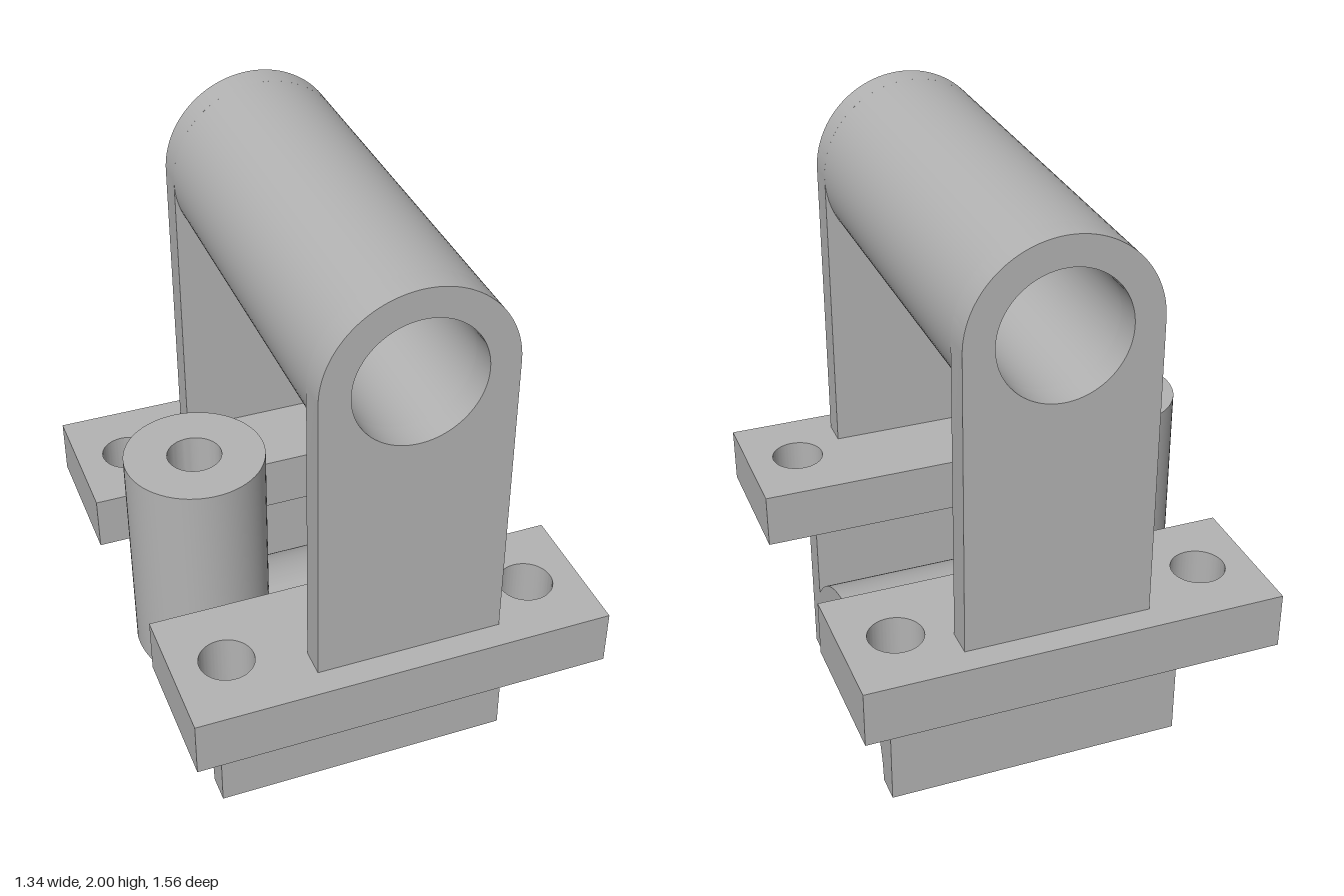
import * as THREE from 'three';
import { toCreasedNormals } from 'three/addons/utils/BufferGeometryUtils.js';

export function createModel() {
  const model = new THREE.Group();
  model.name = 'bracket';
  const metal = new THREE.MeshStandardMaterial({ color: 0xb3b3b3 });
  metal.name = 'grey metal';

  const add = (name, geometry) => {
    const mesh = new THREE.Mesh(toCreasedNormals(geometry, 0.5), metal);
    mesh.name = name;
    model.add(mesh);
    return mesh;
  };
  const extrude = (shape, depth) =>
    new THREE.ExtrudeGeometry(shape, { depth, bevelEnabled: false, curveSegments: 48 });
  const hole = (x, y, r) => new THREE.Path().absarc(x, y, r, 0, Math.PI * 2, true);

  // Saddle: half ring joined to two upright walls, extruded along x
  const inner = 0.355, outer = 0.445, wall = 0.447, wallTop = 0.54;
  const joint = Math.acos(inner / outer);
  const xStart = -0.5, xSplit = -0.3, xEnd = 0.495;
  const alongX = (shape, x0, x1) => extrude(shape, x1 - x0).rotateY(Math.PI / 2).translate(x0, 0, 0);

  const arch = new THREE.Shape();
  arch.moveTo(wall, 0);
  arch.lineTo(wall, wallTop);
  arch.lineTo(inner, wallTop);
  arch.absarc(0, 0, outer, joint, Math.PI - joint, false);
  arch.lineTo(-inner, wallTop);
  arch.lineTo(-wall, wallTop);
  arch.lineTo(-wall, 0);
  arch.absarc(0, 0, inner, Math.PI, 0, true);
  add('saddle', alongX(arch, xSplit, xEnd));

  // Saddle end, left open in the middle for the bore of the vertical pipe
  const gap = 0.15;
  for (const s of [1, -1]) {
    const a = (t) => (s > 0 ? t : Math.PI - t);
    const side = new THREE.Shape();
    side.moveTo(s * wall, 0);
    side.lineTo(s * wall, wallTop);
    side.lineTo(s * inner, wallTop);
    side.absarc(0, 0, outer, a(joint), a(Math.acos(gap / outer)), s < 0);
    side.absarc(0, 0, inner, a(Math.acos(gap / inner)), a(0), s > 0);
    add('saddleEnd', alongX(side, xStart, xSplit));
  }

  // Vertical pipe, its foot trimmed to the inside of the saddle
  const pipeR = 0.223, boreR = 0.086, pipeTop = 1.085, pipeX = -0.41;
  const profile = [];
  for (let i = 0; i <= 6; i++) {
    profile.push(new THREE.Vector2(boreR + ((pipeR - boreR) * i) / 6, 0));
  }
  profile.push(
    new THREE.Vector2(pipeR, pipeTop),
    new THREE.Vector2(boreR, pipeTop),
    new THREE.Vector2(boreR, 0),
  );
  const pipe = new THREE.LatheGeometry(profile, 64);
  const p = pipe.attributes.position;
  for (let i = 0; i < p.count; i++) {
    if (p.getY(i) < 0.01) p.setY(i, Math.sqrt(inner * inner - p.getZ(i) ** 2));
  }
  add('verticalPipe', pipe).position.x = pipeX;

  // Upright plate with rounded top and bore
  const eyeX = 0.037, eyeY = 1.703, eyeR = 0.297, eyeBore = 0.203, plate = 0.09;
  const upright = new THREE.Shape();
  upright.moveTo(eyeX - eyeR, 0.725);
  upright.lineTo(eyeX + eyeR, 0.725);
  upright.absarc(eyeX, eyeY, eyeR, 0, Math.PI, false);
  upright.closePath();
  upright.holes.push(hole(eyeX, eyeY, eyeBore));

  // Flange with two bolt holes, drawn in the ground plane
  const flange = new THREE.Shape();
  flange.moveTo(-0.67, -0.233);
  flange.lineTo(0.67, -0.233);
  flange.lineTo(0.67, 0.233);
  flange.lineTo(-0.67, 0.233);
  flange.closePath();
  for (const x of [-0.497, 0.497]) flange.holes.push(hole(x, 0, 0.086));

  for (const s of [1, -1]) {
    add('flange', extrude(flange, 0.185).rotateX(-Math.PI / 2)).position.set(0, wallTop, s * 0.547);
    add('upright', extrude(upright, plate)).position.z = s * 0.65 - plate / 2;
  }

  // Horizontal tube between the uprights
  const tube = new THREE.Shape().absarc(eyeX, eyeY, eyeR, 0, Math.PI * 2, false);
  tube.holes.push(hole(eyeX, eyeY, eyeBore));
  add('horizontalTube', extrude(tube, 1.21)).position.z = -0.605;

  return model;
}
